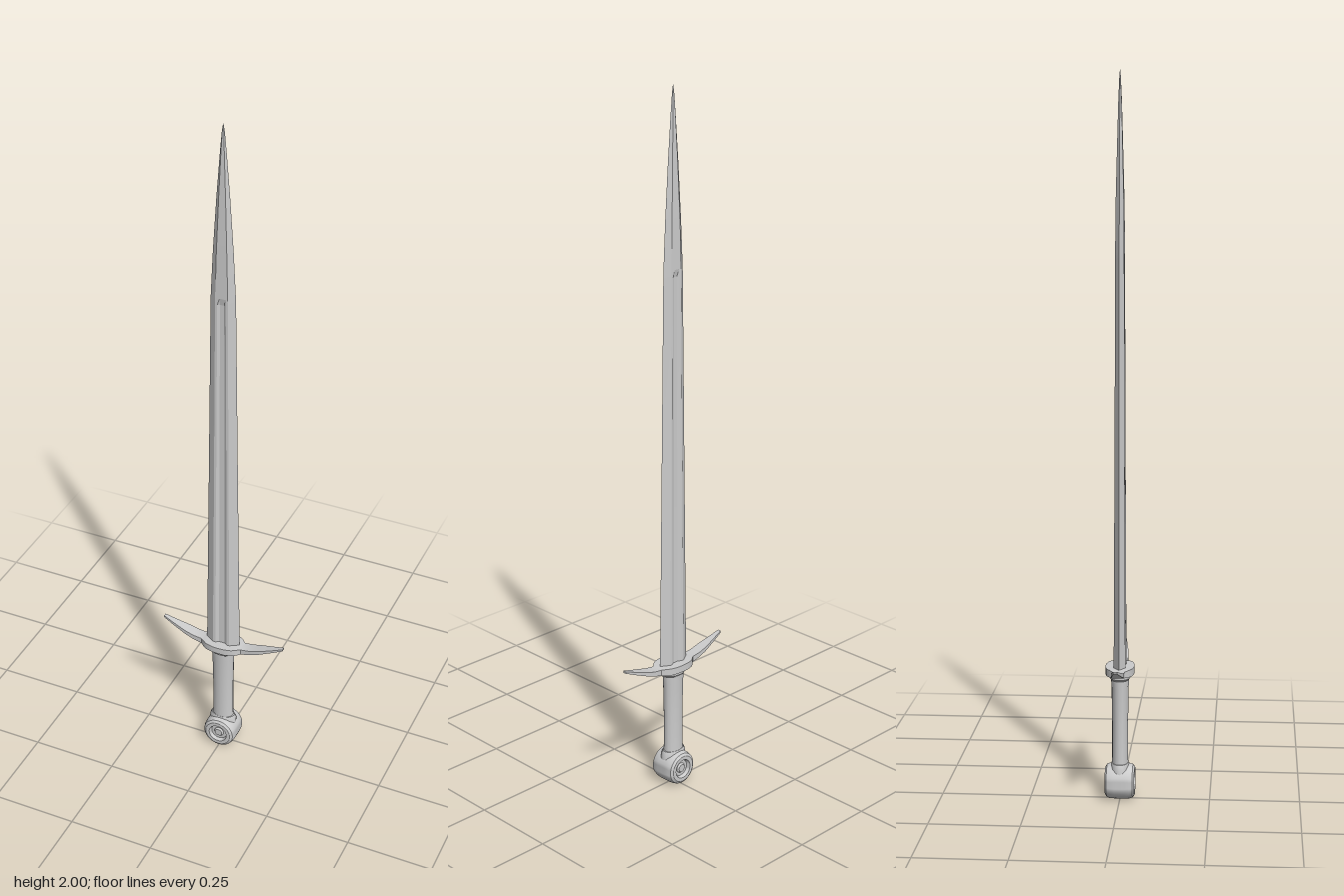
import * as THREE from 'three';
import { toCreasedNormals } from 'three/addons/utils/BufferGeometryUtils.js';

// Skin a list of equal-length point loops and cap both ends.
function loft(rings) {
  const n = rings[0].length, last = (rings.length - 1) * n, index = [];
  for (let i = 0; i < rings.length - 1; i++) {
    for (let j = 0; j < n; j++) {
      const a = i * n + j, b = i * n + (j + 1) % n;
      index.push(a, b, b + n, a, b + n, a + n);
    }
  }
  for (let j = 1; j < n - 1; j++) {
    index.push(0, j + 1, j, last, last + j, last + j + 1);
  }
  const g = new THREE.BufferGeometry();
  g.setAttribute('position', new THREE.Float32BufferAttribute(rings.flat(2), 3));
  g.setIndex(index);
  return g;
}

function addMesh(group, name, geometry, crease = 0.6) {
  const mesh = new THREE.Mesh(
    toCreasedNormals(geometry, crease),
    new THREE.MeshStandardMaterial({ color: 0xcccccc })
  );
  mesh.name = name;
  group.add(mesh);
  return mesh;
}

const lathe = (points, sides) =>
  new THREE.LatheGeometry(points.map(([r, y]) => new THREE.Vector2(r, y)), sides);

// Blade section: bevelled edges, and a fuller of half width f and depth d on each face.
function bladeRing([y, w, t, f, d]) {
  const back = [[w, -0], [Math.max(w * 0.5, f * 1.15), -t], [f, -t], [f * 0.5, d - t], [0, d - t],
    [-f * 0.5, d - t], [-f, -t], [-Math.max(w * 0.5, f * 1.15), -t]];
  const front = back.map(([x, z]) => [-x, -z]);
  return [...back, ...front].map(([x, z]) => [x, y, z]);
}

export function createModel() {
  const sword = new THREE.Group();
  sword.name = 'sword';

  // Blade: height, half width, half thickness, fuller half width, fuller depth
  addMesh(sword, 'blade', loft([
    [0.365, 0.052, 0.016, 0.018, 0.006],
    [1.0, 0.043, 0.0135, 0.015, 0.005],
    [1.5, 0.036, 0.012, 0.012, 0.004],
    [1.52, 0.0355, 0.012, 0.011, 0],
    [1.65, 0.029, 0.011, 0.008, 0],
    [1.8, 0.019, 0.0075, 0.005, 0],
    [1.92, 0.0095, 0.0045, 0.002, 0],
    [1.98, 0.004, 0.002, 0.001, 0],
    [2.0, 0.0005, 0.0005, 0.0001, 0]
  ].map(bladeRing)), 0.15);

  // Crossguard: distance from centre, bottom, top, half depth; mirrored to both sides
  const half = [
    [0, 0.36, 0.38, 0.04],
    [0.02, 0.36, 0.38, 0.039],
    [0.04, 0.36, 0.38, 0.034],
    [0.052, 0.36, 0.38, 0.026],
    [0.062, 0.361, 0.378, 0.017],
    [0.09, 0.368, 0.382, 0.017],
    [0.115, 0.377, 0.389, 0.016],
    [0.15, 0.391, 0.4, 0.011],
    [0.188, 0.407, 0.413, 0.005]
  ];
  const stations = [
    ...half.slice(1).reverse().map(([x, ...rest]) => [-x, ...rest]), ...half
  ];
  addMesh(sword, 'crossguard', loft(stations.map(([x, lo, hi, z]) =>
    [[x, hi, z], [x, lo, z], [x, lo, -z], [x, hi, -z]])), 0.4);

  // Grip: oval, flared below the guard
  const grip = addMesh(sword, 'grip', lathe([
    [0, 0.07], [0.034, 0.07], [0.031, 0.12], [0.031, 0.22], [0.033, 0.32],
    [0.035, 0.342], [0.041, 0.348], [0.041, 0.362], [0, 0.362]
  ], 16));
  grip.scale.z = 0.72;

  // Collar seating the grip on the pommel
  const collar = addMesh(sword, 'pommelCollar', lathe([
    [0, 0.06], [0.042, 0.06], [0.041, 0.092], [0.036, 0.104], [0, 0.104]
  ], 16));
  collar.scale.z = 0.65;

  // Wheel pommel: rounded rim, recessed faces with a raised stud
  const face = [[0, 0.036], [0.011, 0.036], [0.015, 0.031], [0.024, 0.031],
    [0.028, 0.041], [0.039, 0.041], [0.046, 0.036], [0.049, 0.027], [0.05, 0.014]];
  const profile = [
    ...face.map(([r, h]) => [r, -h]), ...[...face].reverse()
  ];
  const pommel = addMesh(sword, 'pommel', lathe(profile, 32));
  pommel.rotation.x = Math.PI / 2;
  pommel.position.y = 0.05;

  return sword;
}
